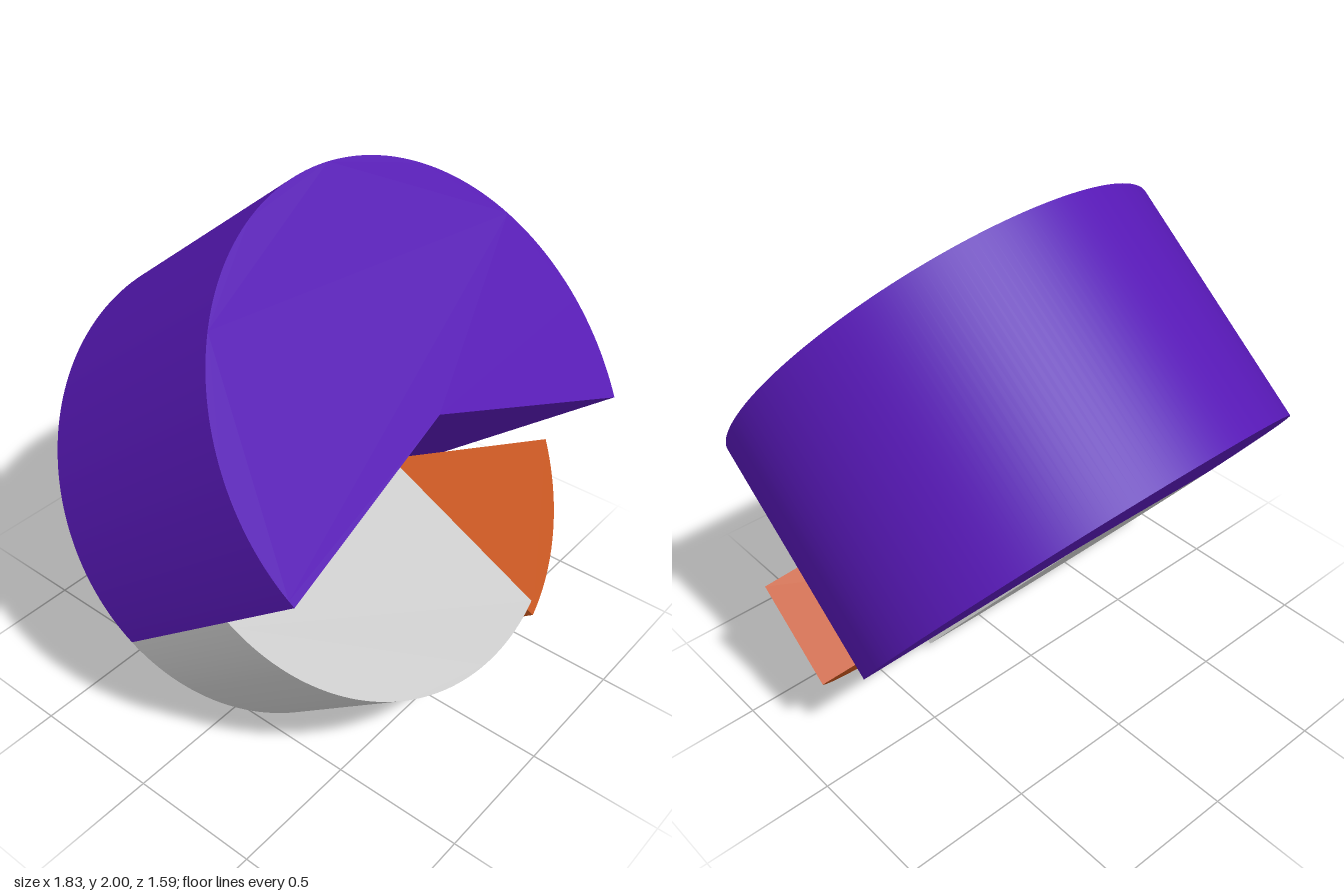
import * as THREE from 'three';
import { toCreasedNormals } from 'three/addons/utils/BufferGeometryUtils.js';

const RADIUS = 0.897;
const rad = THREE.MathUtils.degToRad;

// One wedge of the pie: angles in degrees, back plane and depth along the pie's axis
function slice(name, color, from, to, back, depth, explode = 0) {
  const shape = new THREE.Shape();
  shape.absarc(0, 0, RADIUS, rad(from), rad(to), false);
  shape.lineTo(0, 0);
  shape.closePath();

  const extruded = new THREE.ExtrudeGeometry(shape, { depth, bevelEnabled: false, curveSegments: 64 });
  const material = new THREE.MeshStandardMaterial({ color });
  const mesh = new THREE.Mesh(toCreasedNormals(extruded, rad(30)), material);

  // Pull the wedge outwards along its middle direction
  const middle = rad((from + to) / 2);
  mesh.position.set(Math.cos(middle) * explode, Math.sin(middle) * explode, back);
  mesh.name = name;
  return mesh;
}

export function createModel() {
  const model = new THREE.Group();
  model.name = 'pieChart';

  // The whole pie leans back, its face looking forward and up
  const pie = new THREE.Group();
  pie.name = 'tiltedPie';
  pie.rotation.x = -rad(38.7);
  const centre = new THREE.Group();
  centre.name = 'slices';
  centre.position.set(-0.017, 0.697, 0);

  centre.add(
    slice('largeSlice', 0x5618b4, -22.1, 193.1, 0.256, 0.956),
    slice('mediumSlice', 0xcccccc, 193.1, 289.8, 0.256, 0.603),
    slice('smallSlice', 0xc4541c, 289.8, 337.9, 0.318, 0.406, 0.145),
  );

  pie.add(centre);
  model.add(pie);
  return model;
}
